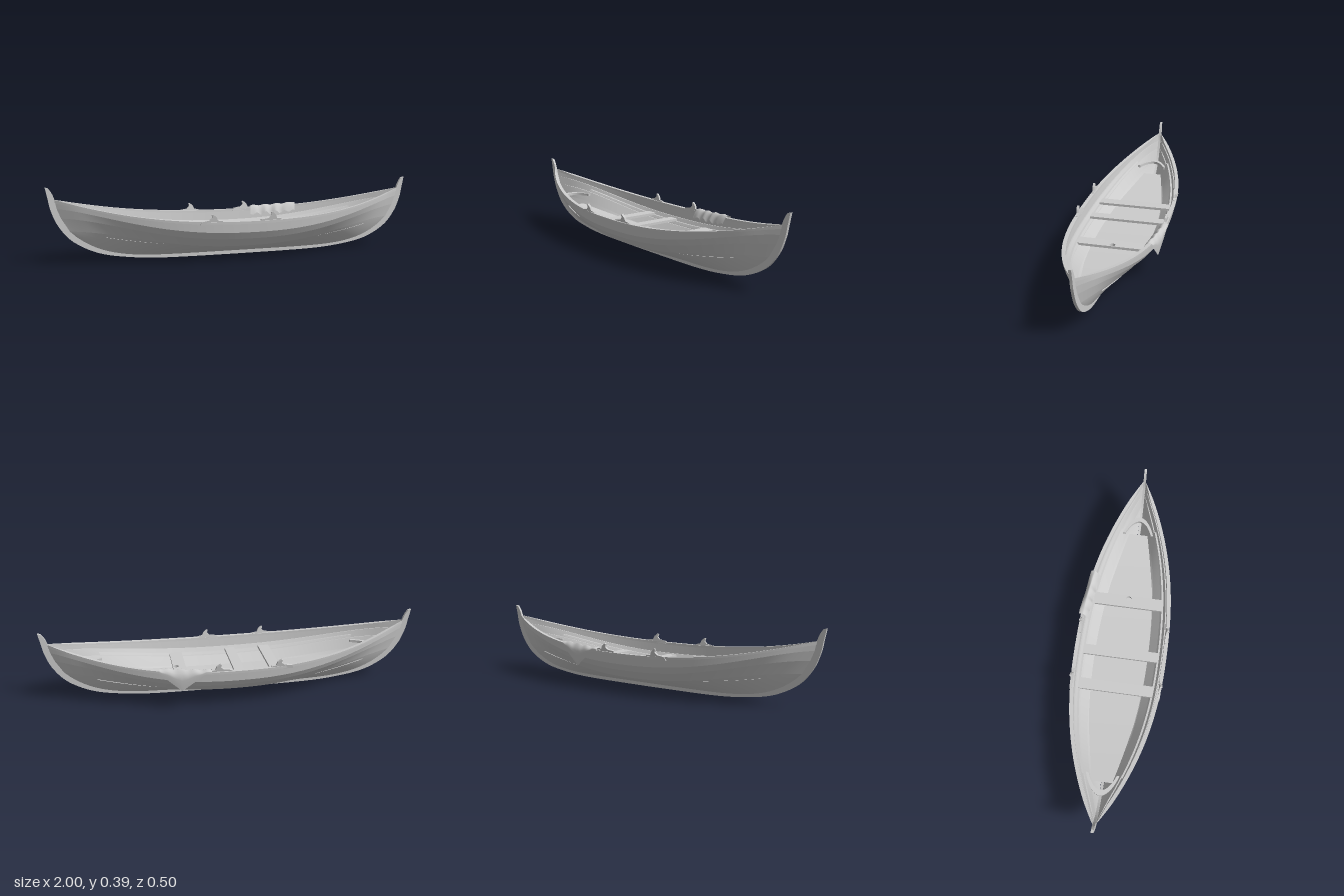
import * as THREE from 'three';

const wood = new THREE.MeshStandardMaterial({ color: 0xcccccc, side: THREE.DoubleSide });
wood.name = 'pale grey wood';

// Curved surface through a grid of points: at(u, v) gives [x, y, z]
function surface(nu, nv, at, flip = false) {
  const pos = [], idx = [];
  for (let i = 0; i <= nu; i++) for (let j = 0; j <= nv; j++) pos.push(...at(i / nu, j / nv));
  for (let i = 0; i < nu; i++) for (let j = 0; j < nv; j++) {
    const a = i * (nv + 1) + j, b = a + 1, c = a + nv + 1, d = c + 1;
    if (flip) idx.push(a, b, c, b, d, c); else idx.push(a, c, b, b, c, d);
  }
  const g = new THREE.BufferGeometry();
  g.setAttribute('position', new THREE.Float32BufferAttribute(pos, 3));
  g.setIndex(idx);
  g.computeVertexNormals();
  return g;
}

// A long line of the hull from stem to stem, s in -1..1; z shrinks and y rises to the ends
const END = 0.006;
const fullness = s => 1 - Math.abs(s) ** 2.35;
const seam = (zm, ym, xe, ye, q) => s => {
  const f = fullness(s);
  return [s * xe, ym + (ye - ym) * (1 - f ** q), END + (zm - END) * f];
};
const between = (a, b, t) => s => {
  const p = a(s), r = b(s);
  return p.map((n, k) => n + (r[k] - n) * t);
};
const keelLine = s => [s * 0.888, 0.02 + 0.145 * s ** 6, END + 0.006 * fullness(s)];
const bilge = seam(0.15, 0.07, 0.888, 0.165, 2.2);
const seam2 = seam(0.2, 0.115, 0.928, 0.232, 1.9);
const seam3 = seam(0.229, 0.152, 0.947, 0.28, 1.57);
const seam4 = seam(0.24, 0.197, 0.955, 0.308, 1.2);
const sheer = seam(0.242, 0.21, 0.957, 0.326, 1.03);

export function createModel() {
  const model = new THREE.Group();
  const add = (name, geometry, parent = model) => {
    const m = new THREE.Mesh(geometry, wood);
    m.name = name;
    parent.add(m);
    return m;
  };
  const extrude = (shape, depth) => {
    const g = new THREE.ExtrudeGeometry(shape, { depth, bevelEnabled: false, curveSegments: 20 });
    return g.translate(0, 0, -depth / 2);
  };
  const shapeOf = pts => new THREE.Shape(pts.map(p => new THREE.Vector2(...p)));

  // Plank between two hull lines: four strips round its cross-section
  function plank(name, low, high, out, outTop, thick, side, reach = 1) {
    const group = new THREE.Group();
    group.name = name;
    const shift = (line, d) => s => {
      const [x, y, z] = line(s);
      const taper = Math.min(1, fullness(s) * 4);
      return [x, y, side * Math.max(z + d * taper, 0)];
    };
    const ring = [shift(low, out), shift(high, outTop), shift(high, outTop - thick), shift(low, out - thick)];
    ['outer face', 'top edge', 'inner face', 'lower edge'].forEach((label, k) => {
      const a = ring[k], b = ring[(k + 1) % 4];
      add(label, surface(56, 1, (u, v) => (v ? b : a)((u * 2 - 1) * reach), side < 0), group);
    });
    model.add(group);
  }

  for (const side of [1, -1]) {
    // Rounded bottom
    add('bottom', surface(56, 5, (u, v) => {
      const s = u * 2 - 1, [x, y, z] = between(keelLine, bilge, v)(s);
      const bulge = 0.016 * v * (1 - v) * fullness(s);
      return [x, y - bulge, side * (z + bulge)];
    }, side < 0));

    // Overlapping planks, then the rub rail and the inner riser
    plank('bilgePlank', bilge, seam2, 0.006, 0, 0.009, side);
    plank('sidePlank', seam2, seam3, 0.006, 0, 0.009, side);
    plank('sheerPlank', seam3, sheer, 0.006, 0, 0.009, side);
    plank('rubRail', seam4, sheer, 0.006, 0.005, 0.02, side);
    plank('thwartRiser', between(seam2, seam3, 0.2), between(seam2, seam3, 0.5), -0.006, -0.006, 0.01, side, 0.75);

    // Thorn-shaped rowlocks leaning outward on the rail
    for (const x of [-0.215, 0.1]) {
      const thorn = shapeOf([[-0.06, -0.012], [0.06, -0.012], [0.055, 0.006], [0.03, 0.01], [0.022, 0.028],
        [0.004, 0.043], [-0.002, 0.04], [0.002, 0.025], [-0.012, 0.012], [-0.055, 0.005]]);
      const m = add('rowlock', extrude(thorn, 0.011));
      m.position.set(x, 0.211, side * 0.232);
      m.rotation.x = side * 0.15;
    }
  }

  // Keel with both stems as one thin board
  const spline = pts => new THREE.SplineCurve(pts.map(p => new THREE.Vector2(...p))).getPoints(40);
  const half = [
    ...spline([[0, 0], [0.4, 0.003], [0.6, 0.018], [0.75, 0.048], [0.87, 0.11],
      [0.94, 0.19], [0.975, 0.27], [0.988, 0.33], [1, 0.388]]),
    ...spline([[0.984, 0.383], [0.966, 0.355], [0.953, 0.32], [0.935, 0.27], [0.88, 0.175],
      [0.78, 0.1], [0.6, 0.045], [0.4, 0.028], [0, 0.026]]),
  ];
  const mirrored = half.slice(1, -1).reverse().map(p => new THREE.Vector2(-p.x, p.y));
  add('keelAndStems', extrude(new THREE.Shape([...half, ...mirrored]), 0.013));

  // Floorboards, curving up a little to the ends
  add('floor', surface(32, 2, (u, v) => {
    const t = u * 2 - 1;
    return [t * 0.72, 0.074 + 0.06 * t * t, (1 - 2 * v) * (0.147 - 0.088 * t * t)];
  }, true));

  // Thwarts; the last one has a mast hole
  for (const [x, w, len] of [[-0.215, 0.06, 0.4], [-0.02, 0.055, 0.404], [0.288, 0.068, 0.376]]) {
    const board = shapeOf([[-w / 2, -len / 2], [w / 2, -len / 2], [w / 2, len / 2], [-w / 2, len / 2]]);
    if (x > 0) board.holes.push(new THREE.Path().absarc(0.017, 0, 0.014, 0, Math.PI * 2, true));
    const m = add('thwart', extrude(board, 0.013).rotateX(-Math.PI / 2));
    m.position.set(x, 0.143, 0);
  }

  // Curved braces across both ends
  for (const end of [1, -1]) {
    const s = new THREE.Shape();
    s.moveTo(0.69, 0.086);
    s.bezierCurveTo(0.75, 0.066, 0.795, 0.035, 0.8, 0);
    s.bezierCurveTo(0.795, -0.035, 0.75, -0.066, 0.69, -0.086);
    s.lineTo(0.69, -0.072);
    s.bezierCurveTo(0.745, -0.052, 0.77, -0.025, 0.772, 0);
    s.bezierCurveTo(0.77, 0.025, 0.745, 0.052, 0.69, 0.072);
    const m = add('endBrace', extrude(s, 0.014).rotateX(-Math.PI / 2));
    m.position.y = 0.19;
    if (end < 0) m.rotation.y = Math.PI;
  }

  // Cloth draped over the far rail, with a hanging point outside and a ragged inner edge
  add('drapedCloth', surface(26, 12, (u, v) => {
    const x = 0.15 + 0.26 * u;
    const [, railY, railZ] = sheer(x / 0.957);
    const fold = 0.003 * Math.sin(u * 24);
    const point = Math.max(0, 1 - Math.abs(x - 0.3) / 0.12);
    const w = (v - 0.5) * 2;
    if (w < 0) { // inside the boat
      const drop = (0.045 + 0.008 * Math.sin(u * 31)) * w * w;
      return [x + 0.01 * w, railY + 0.014 - drop + fold, -railZ + 0.003 - w * (0.034 + fold)];
    }
    const drop = (0.016 + 0.1 * point) * w; // outside
    const reach = 0.019 * Math.sin(Math.min(1, w * 2.5) * Math.PI / 2);
    return [x, railY + 0.014 - drop + fold * (1 - w), -railZ + 0.003 - reach + 0.01 * point * w * w];
  }));

  // The cloth overhangs one side, so the hull sits slightly forward
  model.position.z = 0.004;
  return model;
}
